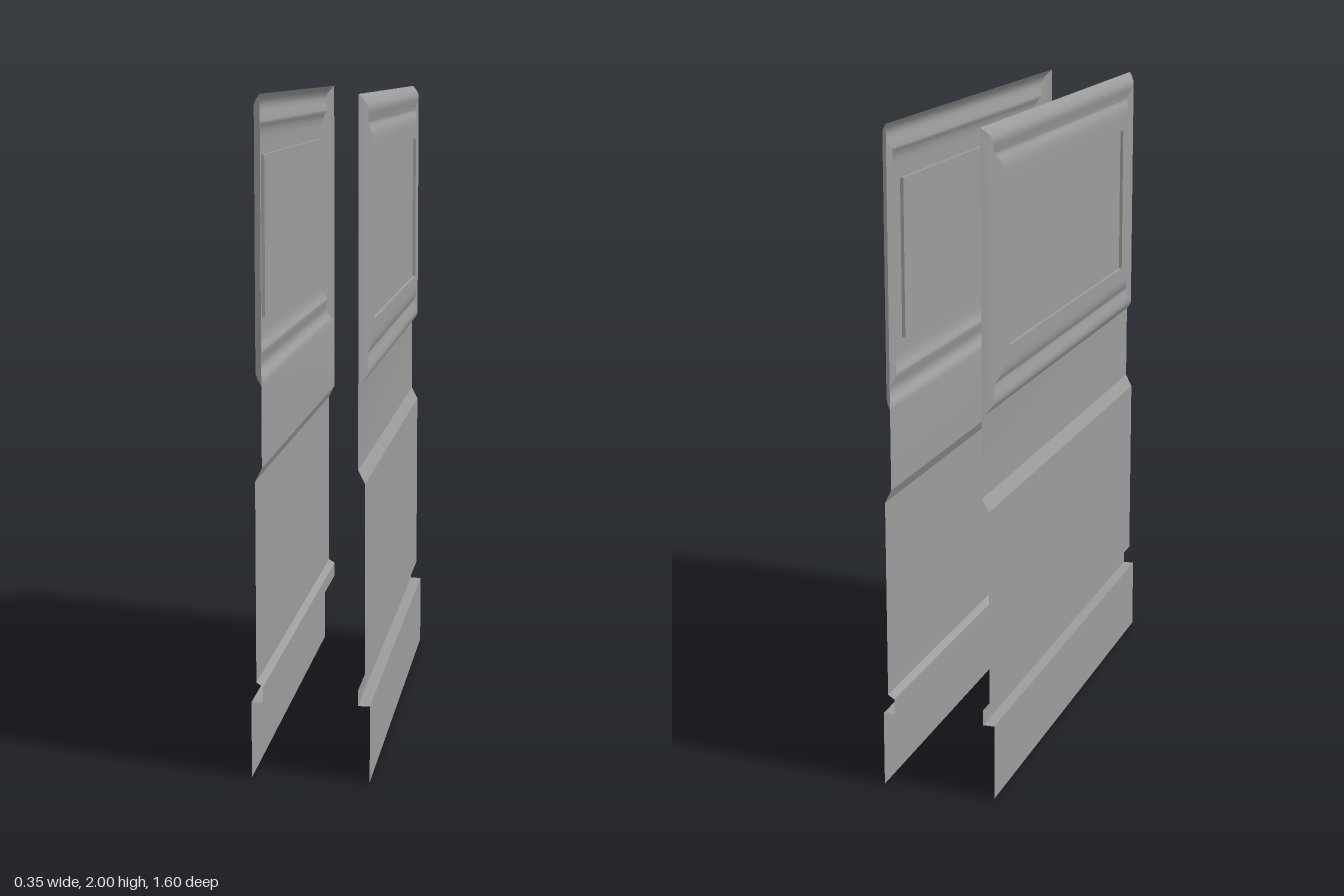
import * as THREE from 'three';

const HALF = 0.8, TOP = 2, SILL = 1.17, WAIST = 0.93;

// Smoothly shaded sheet spanning a list of [start, end] point pairs
function sheet(name, pairs, material) {
  const index = [];
  for (let i = 0; i < pairs.length - 1; i++) {
    const a = i * 2;
    index.push(a, a + 1, a + 3, a, a + 3, a + 2);
  }
  const geometry = new THREE.BufferGeometry();
  geometry.setAttribute('position', new THREE.Float32BufferAttribute(pairs.flat(2), 3));
  geometry.setIndex(index);
  geometry.computeVertexNormals();
  const mesh = new THREE.Mesh(geometry, material);
  mesh.name = name;
  return mesh;
}

// Full-width row at distance x and height y
const row = ([x, y]) => [[x, y, HALF], [x, y, -HALF]];

// Corners of the window rectangle, inset by d and standing at distance x
function ring([d, x]) {
  const z = HALF - d, lo = SILL + d, hi = TOP - d;
  return [[x, lo, z], [x, lo, -z], [x, hi, -z], [x, hi, z]];
}

function createSide(name, material) {
  const side = new THREE.Group();
  side.name = name;

  // Lower wall: [x, y] section from waist to floor, creased at each bend
  const section = [
    [0.14, WAIST], [0.16, 0.89], [0.16, 0.29],
    [0.14, 0.277], [0.14, 0.23], [0.175, 0.23], [0.175, 0],
  ];
  const names = ['waistBevel', 'lowerPanel', 'lowerLip', 'groove', 'skirtLedge', 'skirt'];
  names.forEach((part, i) => {
    side.add(sheet(part, [row(section[i + 1]), row(section[i])], material));
  });

  // Moulded window frame: [inset, x] section, mitred at the corners
  const moulding = [
    [0, 0.14], [0.015, 0.153], [0.03, 0.162], [0.045, 0.163], [0.06, 0.159],
    [0.08, 0.154], [0.088, 0.154], [0.098, 0.161], [0.115, 0.166], [0.135, 0.167], [0.178, 0.167],
  ];
  // Square step down to the pane
  const step = [[0.178, 0.167], [0.178, 0.157]];
  for (let k = 0; k < 4; k++) {
    const edge = (p) => {
      const r = ring(p);
      return [r[k], r[(k + 1) % 4]];
    };
    const rows = moulding.map(edge);
    // The bottom rail blends smoothly into the waist panel below it
    if (k === 0) rows.unshift(row([0.14, WAIST]));
    side.add(sheet(k === 0 ? 'waistPanelAndRail' : 'windowFrame', rows, material));
    side.add(sheet('paneStep', step.map(edge), material));
  }

  // Flat pane
  const [a, b, c, d] = ring(step[1]);
  side.add(sheet('windowPane', [[a, b], [d, c]], material));
  return side;
}

export function createModel() {
  const material = new THREE.MeshStandardMaterial({ color: 0x9c9c9c, side: THREE.DoubleSide });
  const model = new THREE.Group();
  model.name = 'sidePanels';
  const left = createSide('leftSide', material);
  const right = createSide('rightSide', material);
  // Each side is symmetric front to back, so a half turn mirrors it
  right.rotation.y = Math.PI;
  model.add(left, right);
  return model;
}
